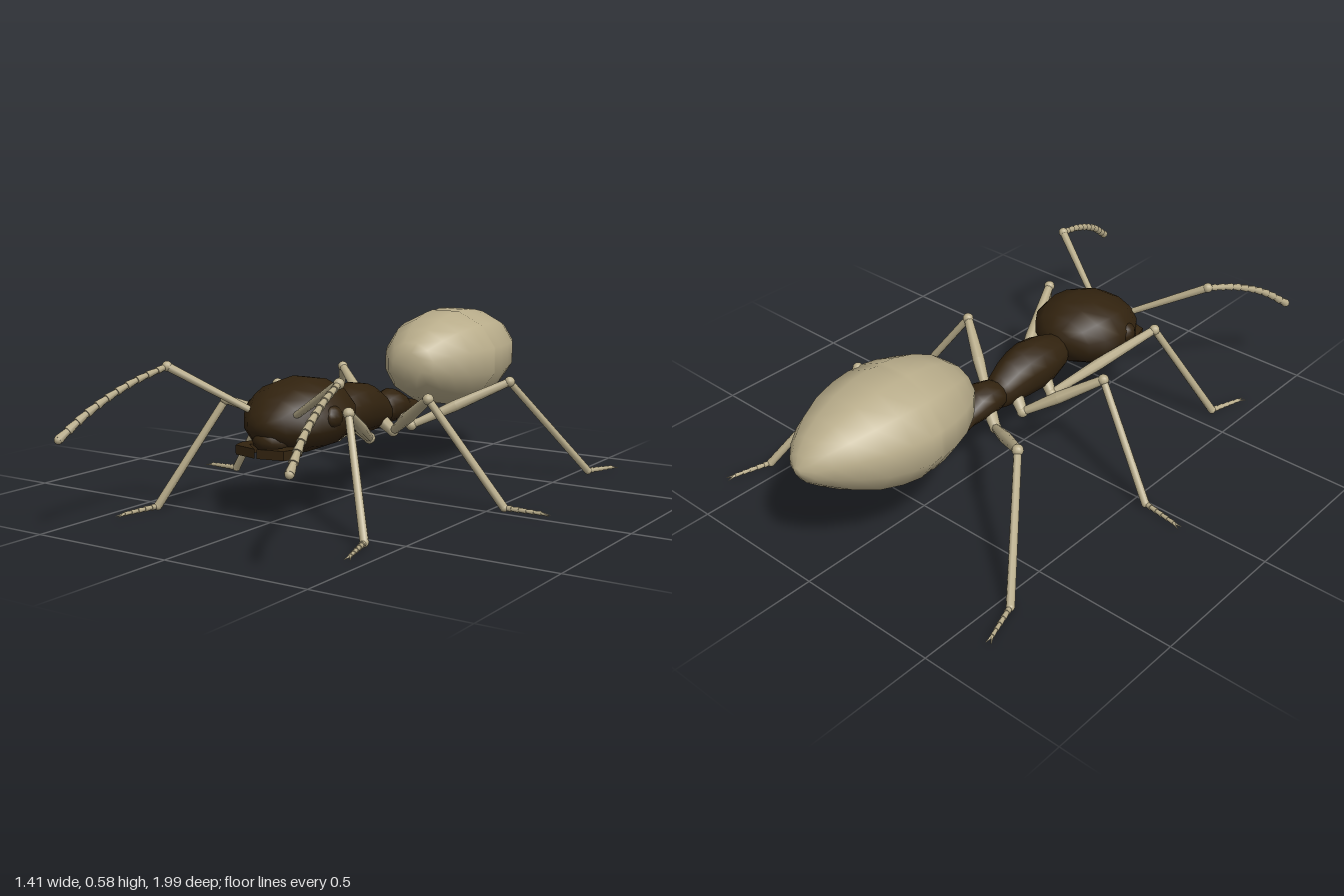
import * as THREE from 'three';

const pale = new THREE.MeshStandardMaterial({ color: 0xb8ac8a });
pale.name = 'paleStraw';
const dark = new THREE.MeshStandardMaterial({ color: 0x32230f });
dark.name = 'darkBrown';

const V = (x, y, z) => new THREE.Vector3(x, y, z);
const SIDES = 12;

function add(parent, name, geometry, material) {
  const mesh = new THREE.Mesh(geometry, material);
  mesh.name = name;
  parent.add(mesh);
  return mesh;
}

// Smooth body from sections [z, bottom, top, half width], listed front to back
function loft(sections) {
  const pos = [], idx = [];
  const k = 1 / Math.cos(Math.PI / SIDES);
  for (const [z, lo, hi, w] of sections) {
    for (let j = 0; j < SIDES; j++) {
      const a = ((j + 0.5) / SIDES) * Math.PI * 2;
      pos.push(Math.cos(a) * w * k, (lo + hi) / 2 + (Math.sin(a) * (hi - lo) * k) / 2, z);
    }
  }
  const n = sections.length;
  const first = sections[0], last = sections[n - 1];
  pos.push(0, (first[1] + first[2]) / 2, first[0], 0, (last[1] + last[2]) / 2, last[0]);
  const front = n * SIDES, back = front + 1;
  for (let j = 0; j < SIDES; j++) {
    const j2 = (j + 1) % SIDES;
    for (let i = 0; i < n - 1; i++) {
      const a = i * SIDES + j, b = i * SIDES + j2;
      idx.push(a, a + SIDES, b, b, a + SIDES, b + SIDES);
    }
    idx.push(front, j, j2, back, (n - 1) * SIDES + j2, (n - 1) * SIDES + j);
  }
  const g = new THREE.BufferGeometry();
  g.setAttribute('position', new THREE.Float32BufferAttribute(pos, 3));
  g.setIndex(idx);
  g.computeVertexNormals();
  return g;
}

// Tapered rod between two points
function rod(parent, name, a, b, ra, rb, material = pale) {
  const dir = b.clone().sub(a);
  const mesh = add(parent, name, new THREE.CylinderGeometry(rb, ra, dir.length(), 8), material);
  mesh.position.copy(a).addScaledVector(dir, 0.5);
  mesh.quaternion.setFromUnitVectors(V(0, 1, 0), dir.normalize());
}

function ball(parent, name, p, rx, ry = rx, rz = rx, material = pale) {
  const mesh = add(parent, name, new THREE.SphereGeometry(1, 12, 8), material);
  mesh.position.copy(p);
  mesh.scale.set(rx, ry, rz);
}

// Leg: hip, femur, shin, jointed foot and two claws
function leg(root, name, side, points) {
  const g = new THREE.Group();
  g.name = name;
  root.add(g);
  const [hip, knee, ankle, tip] = points.map(([x, y, z]) => V(x * side, y, z));
  rod(g, 'coxa', V(0.025 * side, 0.26, hip.z + 0.02), hip, 0.026, 0.018);
  ball(g, 'hipJoint', hip, 0.02);
  const mid = hip.clone().lerp(knee, 0.45);
  rod(g, 'femurLower', hip, mid, 0.014, 0.021);
  rod(g, 'femurUpper', mid, knee, 0.021, 0.015);
  ball(g, 'kneeJoint', knee, 0.019);
  rod(g, 'shin', knee, ankle, 0.013, 0.014);
  ball(g, 'ankleJoint', ankle, 0.014);
  const end = ankle.clone().lerp(tip, 0.82);
  for (let i = 0; i < 5; i++) {
    rod(g, 'footSegment', ankle.clone().lerp(end, i / 5), ankle.clone().lerp(end, (i + 1) / 5),
      0.008 - i * 0.0006, 0.0105 - i * 0.0008);
  }
  const dir = tip.clone().sub(ankle).normalize();
  const across = V(dir.z, 0, -dir.x).multiplyScalar(0.009);
  for (const s of [-1, 1]) {
    rod(g, 'claw', end, tip.clone().addScaledVector(across, s).setY(0.006), 0.005, 0.001);
  }
}

// Antenna: straight base and a beaded, drooping whip
function antenna(root, name, side) {
  const g = new THREE.Group();
  g.name = name;
  root.add(g);
  const base = V(0.08 * side, 0.345, 0.475), elbow = V(0.328 * side, 0.485, 0.597);
  ball(g, 'socket', base, 0.016);
  rod(g, 'scape', base, elbow, 0.011, 0.014);
  ball(g, 'elbowJoint', elbow, 0.017);
  const curve = new THREE.CatmullRomCurve3([
    elbow, V(0.36 * side, 0.445, 0.73), V(0.395 * side, 0.378, 0.87), V(0.428 * side, 0.3, 0.978),
  ]);
  const pts = curve.getSpacedPoints(11);
  for (let i = 0; i < 11; i++) {
    const r = 0.011 + i * 0.0003;
    rod(g, 'whipSegment', pts[i], pts[i + 1], r * 0.75, r * 1.1);
  }
  ball(g, 'whipTip', pts[11], 0.014);
}

function mandible(root, name, side) {
  const outline = [[0.04, 0.45], [0.095, 0.46], [0.108, 0.505], [0.093, 0.552], [0.004, 0.572], [0.062, 0.52]];
  const shape = new THREE.Shape(outline.map(([x, z]) => new THREE.Vector2(x * side, z)));
  const geo = new THREE.ExtrudeGeometry(shape, { depth: 0.03, bevelEnabled: false });
  geo.rotateX(Math.PI / 2);
  add(root, name, geo, dark).position.y = 0.25;
}

export function createModel() {
  const root = new THREE.Group();
  root.name = 'ant';

  // Abdomen with a shallow groove around the middle
  add(root, 'abdomen', loft([
    [-0.32, 0.345, 0.45, 0.06], [-0.345, 0.315, 0.482, 0.095], [-0.4, 0.277, 0.525, 0.14],
    [-0.47, 0.25, 0.556, 0.178], [-0.54, 0.236, 0.573, 0.2], [-0.595, 0.232, 0.579, 0.209],
    [-0.61, 0.235, 0.576, 0.206], [-0.65, 0.23, 0.581, 0.21], [-0.72, 0.24, 0.577, 0.2],
    [-0.8, 0.264, 0.562, 0.178], [-0.88, 0.305, 0.533, 0.138], [-0.94, 0.345, 0.5, 0.095],
    [-0.98, 0.375, 0.463, 0.055], [-1.0, 0.405, 0.43, 0.015],
  ]), pale);

  // Waist and its pale rear joint
  add(root, 'waist', loft([
    [-0.12, 0.23, 0.3, 0.04], [-0.16, 0.222, 0.325, 0.054], [-0.21, 0.22, 0.335, 0.062],
    [-0.25, 0.22, 0.32, 0.056], [-0.29, 0.218, 0.292, 0.046], [-0.32, 0.215, 0.285, 0.05],
    [-0.355, 0.215, 0.278, 0.046], [-0.375, 0.225, 0.27, 0.03],
  ]), dark);
  ball(root, 'waistJoint', V(0, 0.247, -0.362), 0.034, 0.031, 0.021);

  // Thorax
  add(root, 'thorax', loft([
    [0.19, 0.26, 0.345, 0.045], [0.15, 0.235, 0.363, 0.064], [0.09, 0.217, 0.38, 0.078],
    [0.03, 0.21, 0.387, 0.082], [-0.03, 0.21, 0.378, 0.076], [-0.08, 0.21, 0.36, 0.067],
    [-0.13, 0.212, 0.33, 0.055], [-0.165, 0.22, 0.295, 0.04],
  ]), dark);

  // Head, eyes and mouth
  add(root, 'head', loft([
    [0.532, 0.285, 0.325, 0.03], [0.515, 0.255, 0.355, 0.075], [0.48, 0.232, 0.39, 0.115],
    [0.43, 0.218, 0.42, 0.15], [0.37, 0.211, 0.438, 0.168], [0.31, 0.212, 0.443, 0.172],
    [0.25, 0.225, 0.433, 0.157], [0.2, 0.25, 0.408, 0.122], [0.17, 0.28, 0.378, 0.075],
    [0.155, 0.315, 0.345, 0.02],
  ]), dark);
  ball(root, 'mouthPlate', V(0, 0.262, 0.485), 0.068, 0.042, 0.055, dark);

  for (const [label, s] of [['left', 1], ['right', -1]]) {
    ball(root, label + 'Eye', V(0.152 * s, 0.335, 0.37), 0.028, 0.036, 0.038, dark);
    mandible(root, label + 'Mandible', s);
    antenna(root, label + 'Antenna', s);
    leg(root, label + 'FrontLeg', s, [[0.08, 0.208, 0.05], [0.24, 0.362, 0.415], [0.402, 0.016, 0.575], [0.442, 0.01, 0.725]]);
    leg(root, label + 'MiddleLeg', s, [[0.08, 0.208, -0.1], [0.305, 0.36, 0.047], [0.552, 0.016, -0.025], [0.705, 0.01, -0.045]]);
    leg(root, label + 'HindLeg', s, [[0.075, 0.208, -0.23], [0.355, 0.36, -0.435], [0.55, 0.016, -0.69], [0.598, 0.01, -0.84]]);
  }
  return root;
}
